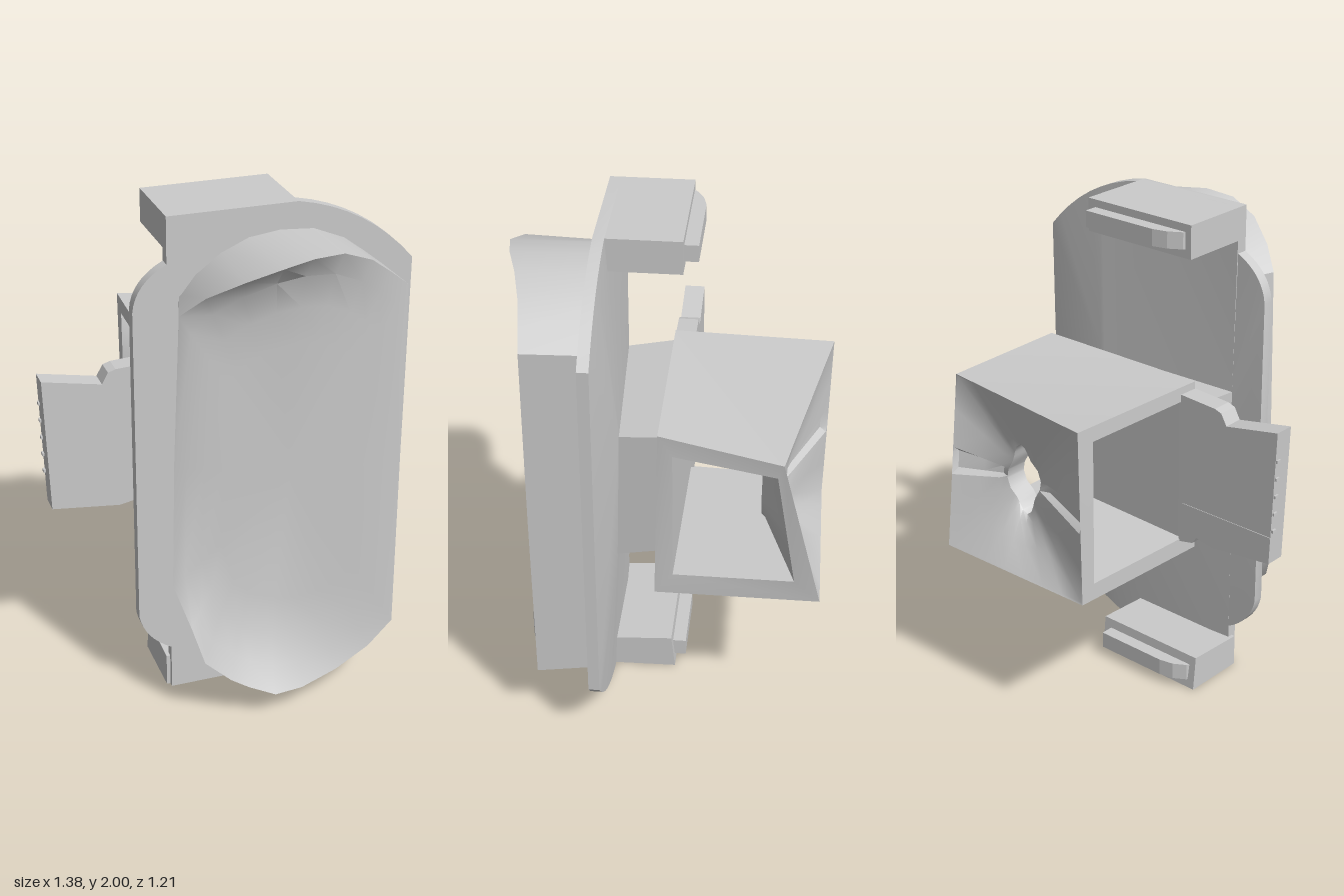
import * as THREE from 'three';
import { toCreasedNormals } from 'three/addons/utils/BufferGeometryUtils.js';

const material = new THREE.MeshStandardMaterial({ color: 0xcccccc });
const V = (x, y, z) => new THREE.Vector3(x, y, z);

// Skin between rings of equal point count; collapsed triangles are skipped
function loft(rings, closed = true, crease = 0.6) {
  const out = [];
  const tri = (a, b, c) => {
    const area = b.clone().sub(a).cross(c.clone().sub(a)).length();
    if (area > 1e-7) for (const p of [a, b, c]) out.push(p.x, p.y, p.z);
  };
  for (let i = 0; i < rings.length - 1; i++) {
    const a = rings[i], b = rings[i + 1], n = a.length;
    for (let j = 0; j < (closed ? n : n - 1); j++) {
      const k = (j + 1) % n;
      tri(a[j], a[k], b[j]);
      tri(a[k], b[k], b[j]);
    }
  }
  const g = new THREE.BufferGeometry();
  g.setAttribute('position', new THREE.Float32BufferAttribute(out, 3));
  g.computeVertexNormals();
  return toCreasedNormals(g, crease);
}

function prism(points, depth) {
  const shape = new THREE.Shape(points.map(([x, y]) => new THREE.Vector2(x, y)));
  return new THREE.ExtrudeGeometry(shape, { depth, bevelEnabled: false });
}

// Side profile given as [z, y], swept from x0 to x1
const sideProfile = (points, x0, x1) =>
  prism(points.map(([z, y]) => [-z, y]), x1 - x0).rotateY(Math.PI / 2).translate(x0, 0, 0);

// Plan outline given as [x, z], swept from y0 to y1
const planProfile = (points, y0, y1) =>
  prism(points, y1 - y0).rotateX(Math.PI / 2).translate(0, y1, 0);

export function createModel() {
  const model = new THREE.Group();
  const add = (name, geometry, parent = model) => {
    const mesh = new THREE.Mesh(geometry, material);
    mesh.name = name;
    parent.add(mesh);
  };
  const group = (name) => {
    const g = new THREE.Group();
    g.name = name;
    model.add(g);
    return g;
  };

  // Backing plate, its rear swelling gently toward the neck
  const s = new THREE.Shape();
  s.moveTo(-0.27, 0).lineTo(0.23, 0);
  s.quadraticCurveTo(0.5, 0.06, 0.685, 0.28).lineTo(0.69, 1.73);
  s.quadraticCurveTo(0.5, 1.95, 0.23, 2).lineTo(-0.27, 2).lineTo(-0.27, 1.82);
  s.quadraticCurveTo(-0.39, 1.76, -0.4, 1.65).lineTo(-0.4, 0.36);
  s.quadraticCurveTo(-0.38, 0.25, -0.27, 0.19);
  const outline = s.getPoints(8);
  const { clamp, lerp } = THREE.MathUtils;
  const swell = outline.map((p) => {
    const x = clamp(p.x, -0.27, 0.38), y = clamp(p.y, 0.71, 1.26);
    return V(x, y, 0.21 - 0.04 * (x + 0.27) / 0.65 + (y < 1 ? 0.015 : 0));
  });
  add('backingPlate', loft([
    outline.map(() => V(0.05, 1, 0.19)),
    swell,
    outline.map((p) => V(p.x, p.y, 0.227)),
    outline.map((p) => V(p.x, p.y, 0.27)),
    outline.map(() => V(0.1, 1, 0.27)),
  ], true, 0.4));

  // Raised front pad with lips curling forward at top and bottom
  const rim = [
    [0.58, 1, 0.49], [0.575, 1.72, 0.49], [0.5, 1.78, 0.5], [0.42, 1.84, 0.51],
    [0.3, 1.89, 0.54], [0.17, 1.9, 0.58], [0.05, 1.885, 0.6], [-0.08, 1.84, 0.57],
    [-0.2, 1.77, 0.5], [-0.28, 1.69, 0.44], [-0.3, 1.1, 0.43], [-0.31, 0.58, 0.43],
    [-0.265, 0.43, 0.52], [-0.22, 0.28, 0.545], [-0.12, 0.19, 0.56], [-0.05, 0.15, 0.575],
    [0.05, 0.11, 0.6], [0.17, 0.1, 0.575], [0.33, 0.12, 0.53], [0.48, 0.18, 0.5],
    [0.585, 0.27, 0.485],
  ].map((p) => V(...p));
  const inset = (k, keep) => rim.map((p) => {
    const x = lerp(0.14, p.x, k), y = lerp(1, p.y, k);
    return V(x, y, lerp(0.45 + 0.05 * (x + 0.3) / 0.88, p.z, p.y > 1 ? keep * 0.5 : keep));
  });
  add('frontPad', loft([
    rim.map((p) => V(p.x < 0 ? p.x * 0.78 : p.x - 0.01, p.y < 0.5 ? p.y + 0.03 : p.y, 0.25)),
    rim, inset(0.9, 0.6), inset(0.76, 0.2), inset(0.6, 0), inset(0, 0),
  ]));

  // Neck between the plate and the housing
  const rect = (x0, x1, y0, y1, z) => [V(x0, y0, z), V(x1, y0, z), V(x1, y1, z), V(x0, y1, z)];
  add('neck', loft([rect(-0.29, 0.41, 0.77, 1.29, 0.0), rect(-0.27, 0.38, 0.71, 1.26, 0.21)]));

  // Housing: skewed sleeve open at both ends
  // Corner order: back top, front top, front bottom, back bottom
  const housing = group('housing');
  const outerL = [V(-0.215, 1.36, -0.605), V(-0.24, 1.36, 0.02), V(-0.24, 0.64, 0.03), V(-0.21, 0.64, -0.59)];
  const outerR = [V(0.578, 1.31, -0.447), V(0.505, 1.36, 0.015), V(0.505, 0.64, 0.03), V(0.505, 0.64, -0.6)];
  const innerL = [V(-0.22, 1.3, -0.53), V(-0.237, 1.3, -0.045), V(-0.237, 0.71, -0.045), V(-0.215, 0.71, -0.53)];
  const innerR = [V(0.57, 1.25, -0.425), V(0.515, 1.28, -0.04), V(0.505, 0.73, -0.04), V(0.505, 0.73, -0.5)];
  add('outerWalls', loft([outerL, outerR], false), housing);
  add('innerWalls', loft([innerR, innerL], false), housing);
  add('leftFrame', loft([outerR, innerR]), housing);
  add('rightFrame', loft([innerL, outerL]), housing);

  // Housing back: funnel sinking to a lobed hole, with a groove on either side
  const levels = [0, 0.25, 0.42, 0.45, 0.55, 0.58, 0.8];
  const square = [];
  for (let i = 0; i < 7; i++) square.push([i / 7, 0]);
  for (const v of levels) square.push([1, v]);
  for (let i = 0; i < 7; i++) square.push([1 - i / 7, 1]);
  for (const v of levels) square.push([0, 1 - v]);
  const edgeRing = (left, right) => square.map(([u, v]) =>
    left[3].clone().lerp(left[0], v).lerp(right[3].clone().lerp(right[0], v), u));
  const holeRing = (z) => square.map(([u, v]) => {
    const a = Math.atan2(v - 0.5, u - 0.5);
    const r = 1 + 0.14 * Math.cos(4 * a + 0.7);
    return V(0.22 + 0.08 * r * Math.cos(a), 0.97 + 0.13 * r * Math.sin(a), z);
  });
  const outerEdge = edgeRing(outerL, outerR), outerHole = holeRing(-0.45);
  const innerEdge = edgeRing(innerL, innerR), innerHole = holeRing(-0.36);
  const between = (t) => outerEdge.map((p, i) => {
    const q = p.clone().lerp(outerHole[i], t), [u, v] = square[i];
    if ((u === 0 || u === 1) && v > 0.44 && v < 0.56) q.z += 0.025;
    return q;
  });
  add('housingBack', loft(
    [innerEdge, innerHole, outerHole, between(0.85), between(0.5), between(0.03), outerEdge],
    true, 0.7), housing);

  // Side flap with a thin rib and small grip ridges on its edge
  const flap = group('sideFlap');
  add('flapPanel', prism([
    [-0.69, 1.31], [-0.67, 0.76], [-0.4, 0.73], [-0.32, 0.745], [-0.3, 0.715], [-0.23, 0.7],
    [-0.23, 1.33], [-0.4, 1.32], [-0.43, 1.31], [-0.455, 1.265],
  ], 0.08).translate(0, 0, -0.058), flap);
  add('flapRib', new THREE.BoxGeometry(0.42, 0.008, 0.006).translate(-0.46, 0.87, -0.058), flap);
  for (let i = 0; i < 5; i++) {
    add('gripRidge', new THREE.BoxGeometry(0.012, 0.012, 0.02)
      .translate(-0.678 - i * 0.002, 0.9 + i * 0.073, -0.045), flap);
  }

  // Clip arms with a tapered catch at top and bottom
  const topClip = group('topClip');
  add('topArm', sideProfile([[0.26, 1.87], [-0.052, 1.87], [-0.052, 2], [0.26, 2]], -0.27, 0.23), topClip);
  add('topCatch', planProfile(
    [[-0.25, -0.04], [-0.24, -0.06], [-0.19, -0.09], [-0.13, -0.105], [0.195, -0.105], [0.195, -0.04]],
    1.905, 1.97), topClip);
  const bottomClip = group('bottomClip');
  add('bottomArm', sideProfile([[0.25, 0], [-0.02, 0.005], [-0.005, 0.15], [0.25, 0.135]], -0.285, 0.21), bottomClip);
  add('bottomCatch', planProfile(
    [[-0.26, 0], [-0.25, -0.02], [-0.2, -0.05], [-0.14, -0.062], [0.175, -0.062], [0.175, 0]],
    0.04, 0.11), bottomClip);

  return model;
}
